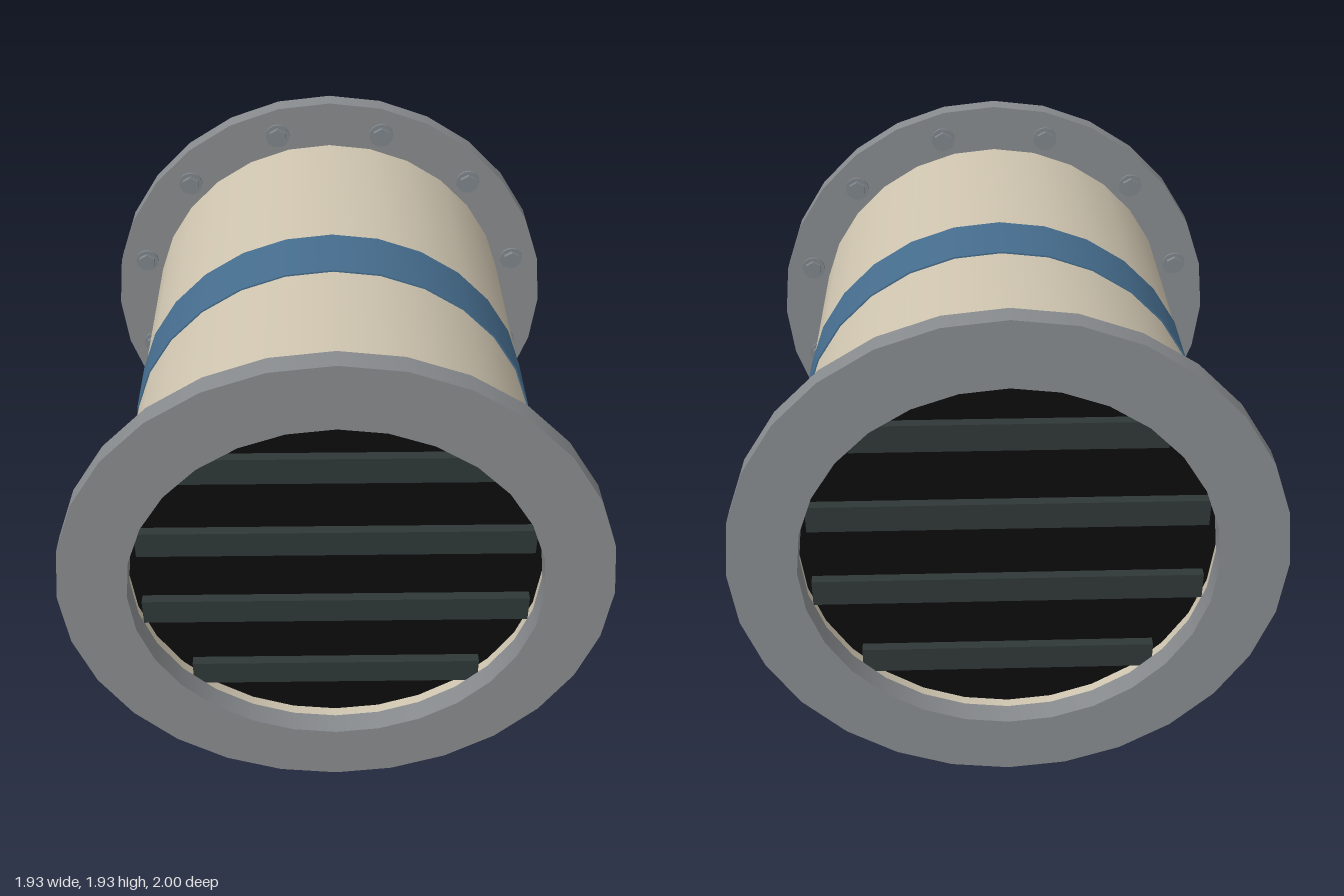
import * as THREE from 'three';
import { mergeGeometries } from 'three/addons/utils/BufferGeometryUtils.js';

const SIDES = 28;
const CENTER_Y = 0.965;

const material = (name, color) => {
  const m = new THREE.MeshStandardMaterial({ color });
  m.name = name;
  return m;
};

// Hollow ring along z: smooth around, sharp at its four rims.
function ringGeometry(inner, outer, z0, z1) {
  const p = [[outer, z0], [outer, z1], [inner, z1], [inner, z0]].map(([r, z]) => new THREE.Vector2(r, z));
  const walls = p.map((a, i) => new THREE.LatheGeometry([a, p[(i + 1) % 4]], SIDES));
  return mergeGeometries(walls).rotateX(Math.PI / 2);
}

export function createModel() {
  const steel = material('flangeGrey', 0x888b8e);
  const boltSteel = material('boltGrey', 0x7f858b);
  const cream = material('casingCream', 0xcfc5b0);
  const blue = material('bandBlue', 0x466d8e);
  const black = material('ductBlack', 0x0d0d0d);
  const slatGreen = material('slatDarkGreen', 0x2f3837);

  const model = new THREE.Group();
  model.name = 'ductSection';
  const body = new THREE.Group();
  body.name = 'body';
  body.position.y = CENTER_Y;
  model.add(body);

  const add = (parent, name, geometry, mat, x = 0, y = 0, z = 0) => {
    const mesh = new THREE.Mesh(geometry, mat);
    mesh.name = name;
    mesh.position.set(x, y, z);
    parent.add(mesh);
    return mesh;
  };

  // Pipe casing and painted band
  add(body, 'casing', ringGeometry(0.73, 0.775, -0.921, 0.921), cream);
  add(body, 'band', ringGeometry(0.77, 0.781, -0.132, 0.132), blue);

  // Shared end parts
  const flange = ringGeometry(0.722, 0.963, 0.92, 1);
  const disc = new THREE.CylinderGeometry(0.728, 0.728, 0.02, SIDES).rotateX(Math.PI / 2);
  const washer = new THREE.CylinderGeometry(0.05, 0.05, 0.012, 16).rotateX(Math.PI / 2);
  const head = new THREE.CylinderGeometry(0.038, 0.038, 0.022, 6).toNonIndexed().rotateX(Math.PI / 2);
  head.computeVertexNormals();

  // Both ends are the same, the back one turned half round
  for (const [name, turn] of [['frontEnd', 0], ['backEnd', Math.PI]]) {
    const end = new THREE.Group();
    end.name = name;
    end.rotation.y = turn;
    body.add(end);

    add(end, 'flange', flange, steel);
    add(end, 'innerDisc', disc, black, 0, 0, 0.87);

    // Grille slats, cut to the width of the opening
    for (const y of [-0.483, -0.161, 0.161, 0.483]) {
      const width = 2 * (Math.abs(y) > 0.3 ? 0.53 : 0.69);
      add(end, 'slat', new THREE.BoxGeometry(width, 0.103, 0.04), slatGreen, 0, y, 0.895);
    }

    // Ring of twelve bolts behind the flange
    for (let i = 0; i < 12; i++) {
      const a = ((i + 0.5) * Math.PI) / 6;
      const x = 0.85 * Math.cos(a);
      const y = 0.85 * Math.sin(a);
      add(end, 'washer', washer, boltSteel, x, y, 0.915);
      add(end, 'boltHead', head, boltSteel, x, y, 0.9);
    }
  }
  return model;
}
